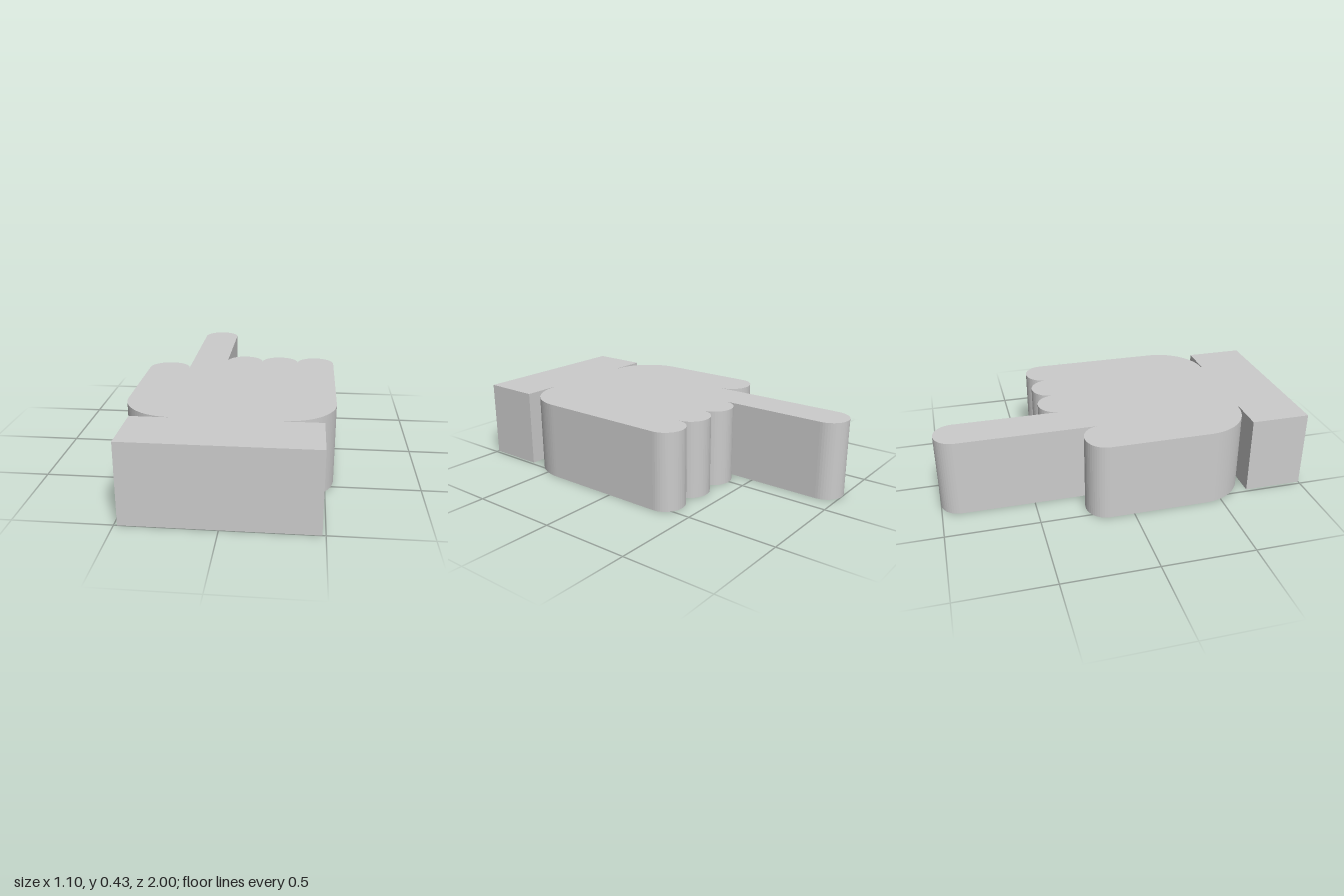
import * as THREE from 'three';

const HEIGHT = 0.43;

// Pointing hand outline, drawn counter-clockwise with the fingertip towards +y
function handOutline() {
  const s = new THREE.Shape();
  // cuff
  s.moveTo(-0.483, -1);
  s.lineTo(0.483, -1);
  s.lineTo(0.483, -0.677);
  s.lineTo(0.285, -0.677);
  // rounded heel of the palm
  s.lineTo(0.285, -0.672);
  s.absarc(0.285, -0.41, 0.262, -Math.PI / 2, 0, false);
  // three curled fingers
  for (const x of [0.439, 0.223, 0.008]) {
    s.absellipse(x, 0.305, 0.108, 0.105, 0, Math.PI, false, 0);
  }
  // pointing finger
  s.absarc(-0.206, 0.894, 0.106, 0, Math.PI, false);
  // thumb
  s.absellipse(-0.43, 0.135, 0.118, 0.107, 0, Math.PI, false, 0);
  // other side of the heel
  s.absarc(-0.285, -0.41, 0.262, Math.PI, Math.PI * 1.5, false);
  s.lineTo(-0.285, -0.677);
  s.lineTo(-0.483, -0.677);
  s.closePath();
  return s;
}

export function createModel() {
  const group = new THREE.Group();
  group.name = 'pointingHand';
  const geometry = new THREE.ExtrudeGeometry(handOutline(), {
    depth: HEIGHT, bevelEnabled: false, curveSegments: 12,
  });
  geometry.rotateX(-Math.PI / 2); // lay flat, finger towards -z
  const hand = new THREE.Mesh(
    geometry,
    new THREE.MeshStandardMaterial({ color: 0xcccccc, flatShading: true })
  );
  hand.name = 'hand';
  group.add(hand);
  return group;
}
